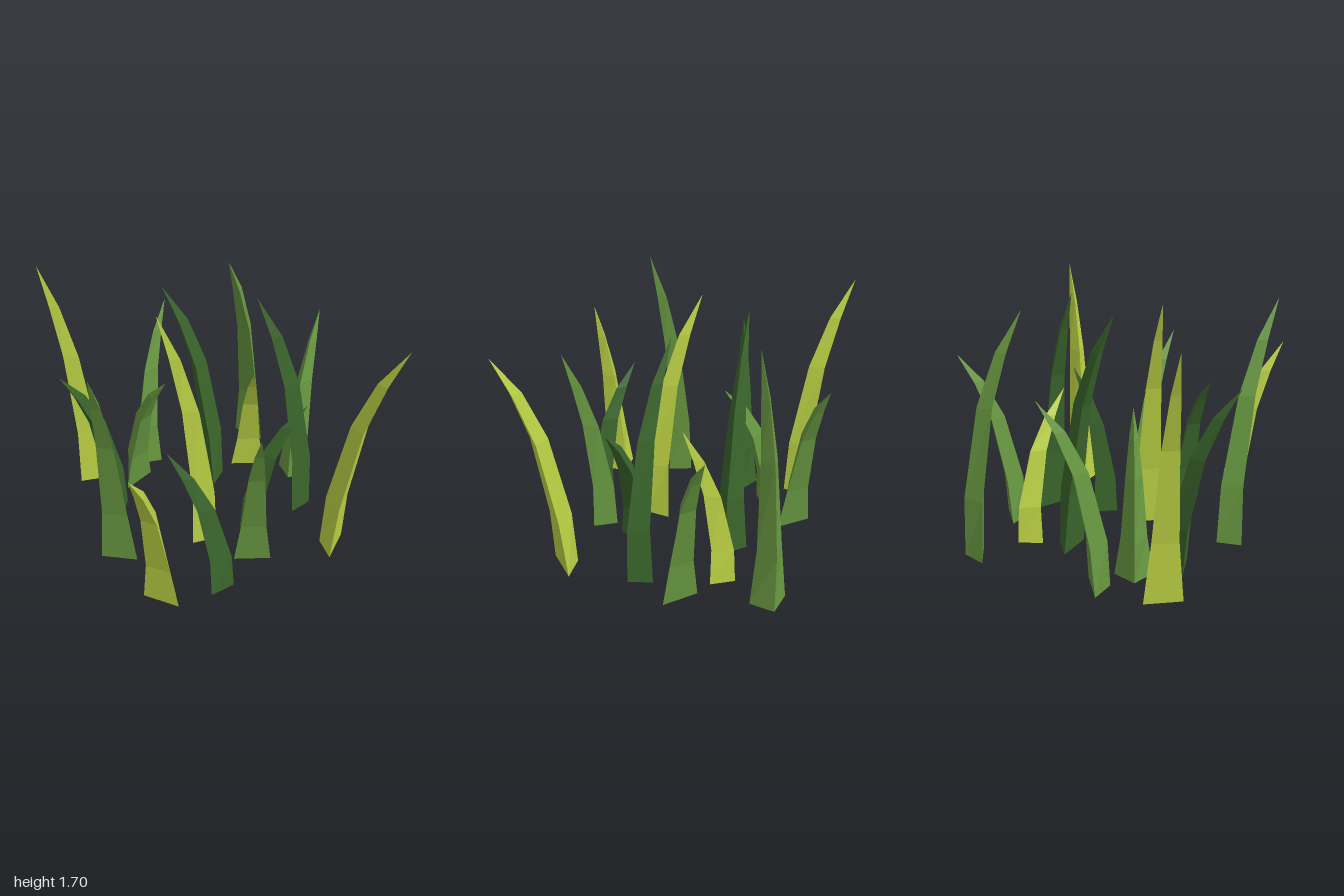
import * as THREE from 'three';

// Cross-sections from ground to tip: [height, half width, front z, back ridge z]; the tip is at z = 0
const RINGS = [
  [0, 0.128, -0.322, -0.442],
  [0.25, 0.087, -0.3, -0.425],
  [0.625, 0.055, -0.21, -0.31],
  [0.84, 0.03, -0.105, -0.175],
];

const COLORS = { dark: 0x3a652b, green: 0x679740, yellow: 0xbcd244 };

// Each blade: colour, height, tip x, tip z, base ridge x, base ridge z
const BLADES = [
  ['yellow', 1.7, -0.947, -0.98, -0.68, -0.627],
  ['green', 1.28, -0.027, -0.99, -0.364, -0.707],
  ['green', 1.7, 0.33, -0.595, 0.695, -0.847],
  ['green', 1.045, -0.267, -0.225, -0.487, -0.606],
  ['dark', 1.7, -0.22, -0.39, 0.225, -0.386],
  ['yellow', 1.045, 0.342, -0.107, 0.481, -0.53],
  ['green', 1.28, 0.995, -0.445, 0.674, -0.139],
  ['dark', 1.28, -0.995, -0.177, -0.572, -0.311],
  ['green', 1.7, -0.943, 0.546, -0.733, 0.155],
  ['yellow', 1.7, -0.37, -0.03, -0.086, 0.3],
  ['dark', 1.7, 0.316, -0.03, 0.706, 0.171],
  ['dark', 1.045, 0.55, 0.348, 0.123, 0.252],
  ['yellow', 1.28, -0.85, 0.98, -0.551, 0.654],
  ['dark', 1.045, -0.492, 0.52, -0.134, 0.766],
  ['green', 1.28, -0.016, 0.89, 0.118, 0.472],
  ['yellow', 1.7, 0.914, 0.895, 0.604, 0.584],
];

// Bent, tapering blade with a triangular section, one unit tall
function bladeGeometry() {
  const pos = [];
  const index = [];
  for (const [y, w, front, ridge] of RINGS) {
    pos.push(w, y, front, 0, y, ridge, -w, y, front);
  }
  pos.push(0, 1, 0);
  const last = RINGS.length - 1;
  const tip = RINGS.length * 3;
  for (let r = 0; r <= last; r++) {
    for (let k = 0; k < 3; k++) {
      const a = r * 3 + k;
      const b = r * 3 + ((k + 1) % 3);
      if (r === last) index.push(a, b, tip);
      else index.push(a, b, b + 3, a, b + 3, a + 3);
    }
  }
  index.push(2, 1, 0); // underside
  const indexed = new THREE.BufferGeometry();
  indexed.setAttribute('position', new THREE.Float32BufferAttribute(pos, 3));
  indexed.setIndex(index);
  const geometry = indexed.toNonIndexed();
  geometry.computeVertexNormals();
  return geometry;
}

export function createModel() {
  const group = new THREE.Group();
  group.name = 'grassClump';
  const geometry = bladeGeometry();
  const materials = {};
  for (const key in COLORS) {
    materials[key] = new THREE.MeshStandardMaterial({ color: COLORS[key], flatShading: true });
  }

  // Place every blade by its tip and turn it away from its base ridge
  BLADES.forEach(([color, height, tx, tz, bx, bz], i) => {
    const blade = new THREE.Mesh(geometry, materials[color]);
    blade.name = `${color}Blade${i + 1}`;
    blade.position.set(tx, 0, tz);
    blade.rotation.y = Math.atan2(tx - bx, tz - bz);
    blade.scale.y = height;
    group.add(blade);
  });
  return group;
}
